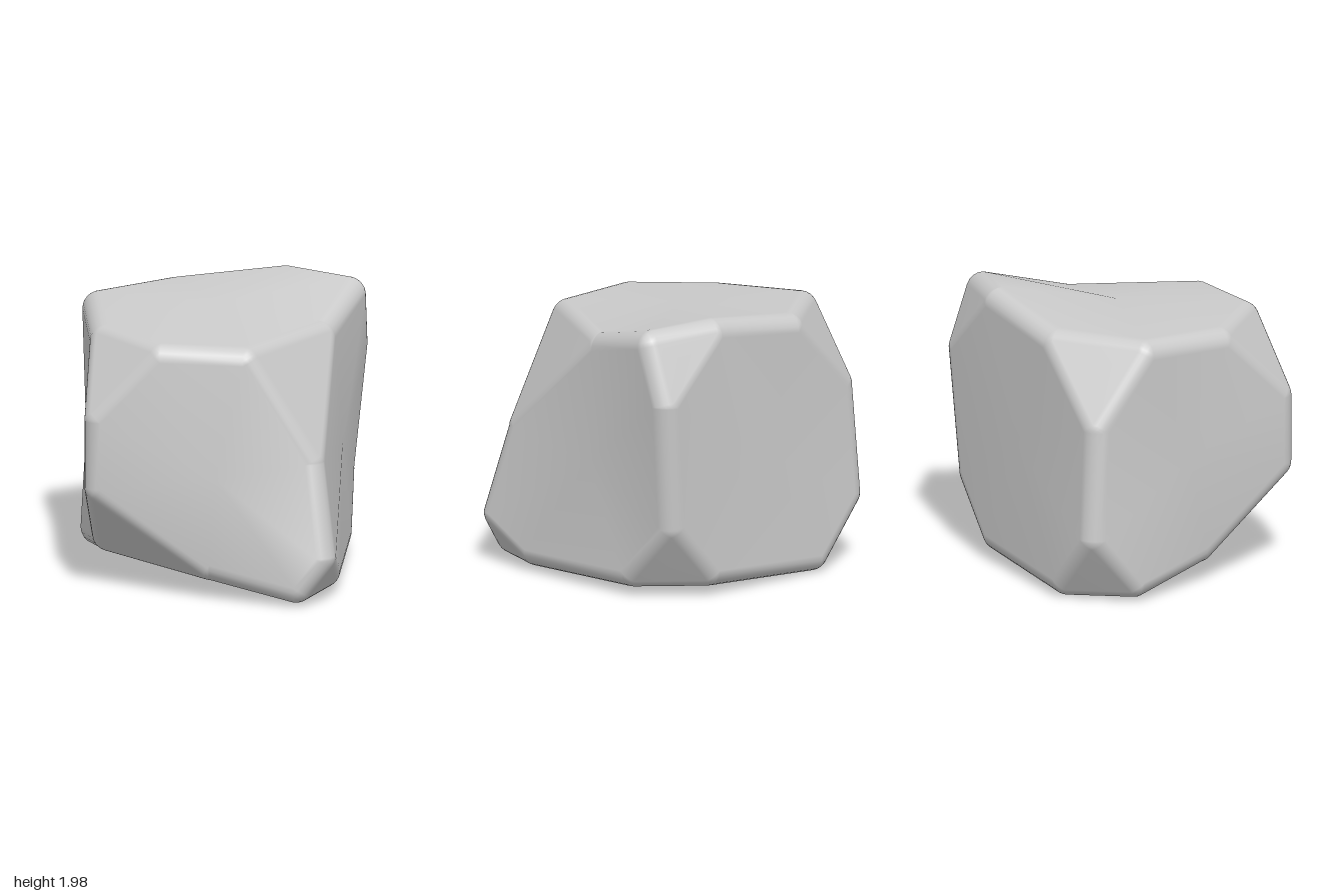
import * as THREE from 'three';
import { mergeVertices } from 'three/addons/utils/BufferGeometryUtils.js';

const R = 0.125; // edge rounding radius
const STEPS = 5; // segments across each rounded edge

// Eight cut corners of a skewed block: signs, then where the cut meets
// the block edges running along x, y and z.
const CORNERS = [
  [[1, 1, 1], [0.25, 1.81, 0.82], [0.81, 0.98, 0.81], [0.82, 1.8, -0.08]],
  [[-1, 1, 1], [-0.33, 1.82, 0.81], [-0.87, 1.25, 0.81], [-0.87, 1.82, 0.22]],
  [[-1, 1, -1], [-0.34, 1.88, -0.96], [-0.96, 1.27, -0.94], [-0.98, 1.87, -0.46]],
  [[1, 1, -1], [0.41, 1.98, -0.95], [0.98, 1.43, -0.95], [0.98, 1.95, -0.68]],
  [[1, -1, 1], [0.62, 0.02, 1.0], [0.9, 0.35, 0.97], [0.9, 0.03, 0.49]],
  [[-1, -1, 1], [0.02, 0.13, 0.85], [-0.87, 0.77, 0.81], [-0.87, 0.14, 0.05]],
  [[1, -1, -1], [0.43, 0.06, -0.94], [0.89, 0.55, -0.92], [0.9, 0.05, -0.44]],
  [[-1, -1, -1], [-0.53, 0, -1], [-0.99, 0.5, -0.99], [-1, 0.02, -0.55]],
];

// How far the middle of each large face swells or sinks: [axis, side, amount]
const SIDES = [
  [0, -1, 0], [0, 1, -0.03],
  [1, -1, 0], [1, 1, 0.03],
  [2, -1, 0], [2, 1, 0.04],
];

function mean(points) {
  return points.reduce((s, p) => s.add(p), new THREE.Vector3()).divideScalar(points.length);
}

// Face loop ordered counter-clockwise around an outward direction, with its normal
function makeFace(ids, centers, outward, bulge) {
  const mid = mean(ids.map((i) => centers[i]));
  const u = centers[ids[0]].clone().sub(mid).projectOnPlane(outward).normalize();
  const v = outward.clone().cross(u);
  const angle = (i) => {
    const d = centers[i].clone().sub(mid);
    return Math.atan2(d.dot(v), d.dot(u));
  };
  const loop = [...ids].sort((a, b) => angle(a) - angle(b));
  const normal = new THREE.Vector3();
  loop.forEach((id, k) => {
    const a = centers[id].clone().sub(mid);
    const b = centers[loop[(k + 1) % loop.length]].clone().sub(mid);
    normal.add(a.cross(b));
  });
  return { loop, normal: normal.normalize(), bulge };
}

function rockGeometry() {
  // Centres of the rounding spheres, one for each of the 24 points
  const centers = [];
  const signs = [];
  for (const [s, ...pts] of CORNERS) {
    pts.forEach((p, axis) => {
      const c = p.map((value, k) => (k === axis ? value : value - R * s[k]));
      centers.push(new THREE.Vector3(...c));
      signs.push({ s, axis });
    });
  }

  // Six large eight-sided faces and eight triangular corner cuts
  const faces = SIDES.map(([k, side, bulge]) => {
    const ids = signs.map((_, i) => i).filter((i) => signs[i].axis !== k && signs[i].s[k] === side);
    return makeFace(ids, centers, new THREE.Vector3().setComponent(k, side), bulge);
  });
  CORNERS.forEach(([s], i) => {
    faces.push(makeFace([3 * i, 3 * i + 1, 3 * i + 2], centers, new THREE.Vector3(...s).normalize(), 0));
  });

  const pos = [];
  const tri = (a, b, c) => pos.push(...a.toArray(), ...b.toArray(), ...c.toArray());
  const onSphere = (id, n) => centers[id].clone().addScaledVector(n, R);
  const blend = (a, b, t) => {
    const w = a.angleTo(b);
    if (w < 1e-5) return a.clone();
    return a.clone().multiplyScalar(Math.sin((1 - t) * w)).addScaledVector(b, Math.sin(t * w)).normalize();
  };

  // Broad faces, as fans about their middles
  const edgeFace = new Map();
  for (const f of faces) {
    const ring = f.loop.map((id) => onSphere(id, f.normal));
    const mid = mean(ring).addScaledVector(f.normal, f.bulge);
    ring.forEach((p, k) => {
      const next = (k + 1) % ring.length;
      tri(mid, p, ring[next]);
      edgeFace.set(f.loop[k] + '_' + f.loop[next], f);
    });
  }

  // Rounded strips along the edges
  for (const [key, f] of edgeFace) {
    const [a, b] = key.split('_').map(Number);
    if (a > b) continue;
    const g = edgeFace.get(b + '_' + a);
    for (let k = 0; k < STEPS; k++) {
      const n0 = blend(f.normal, g.normal, k / STEPS);
      const n1 = blend(f.normal, g.normal, (k + 1) / STEPS);
      const a0 = onSphere(a, n0), a1 = onSphere(a, n1);
      const b0 = onSphere(b, n0), b1 = onSphere(b, n1);
      tri(a0, a1, b1);
      tri(a0, b1, b0);
    }
  }

  // Rounded patches where three faces meet
  centers.forEach((_, id) => {
    let [n0, n1, n2] = faces.filter((f) => f.loop.includes(id)).map((f) => f.normal);
    if (n0.clone().cross(n1).dot(n2) < 0) [n1, n2] = [n2, n1];
    const at = (i, j) => {
      if (i === 0) return onSphere(id, n0);
      const left = blend(n0, n1, i / STEPS);
      const right = blend(n0, n2, i / STEPS);
      return onSphere(id, blend(left, right, j / i));
    };
    for (let i = 0; i < STEPS; i++) {
      for (let j = 0; j <= i; j++) {
        tri(at(i, j), at(i + 1, j), at(i + 1, j + 1));
        if (j < i) tri(at(i, j), at(i + 1, j + 1), at(i, j + 1));
      }
    }
  });

  const geometry = new THREE.BufferGeometry();
  geometry.setAttribute('position', new THREE.Float32BufferAttribute(pos, 3));
  const welded = mergeVertices(geometry, 1e-4);
  welded.computeVertexNormals();
  return welded;
}

export function createModel() {
  const group = new THREE.Group();
  group.name = 'rock';
  const boulder = new THREE.Mesh(rockGeometry(), new THREE.MeshStandardMaterial({ color: 0xcccccc }));
  boulder.name = 'boulder';
  group.add(boulder);
  return group;
}
